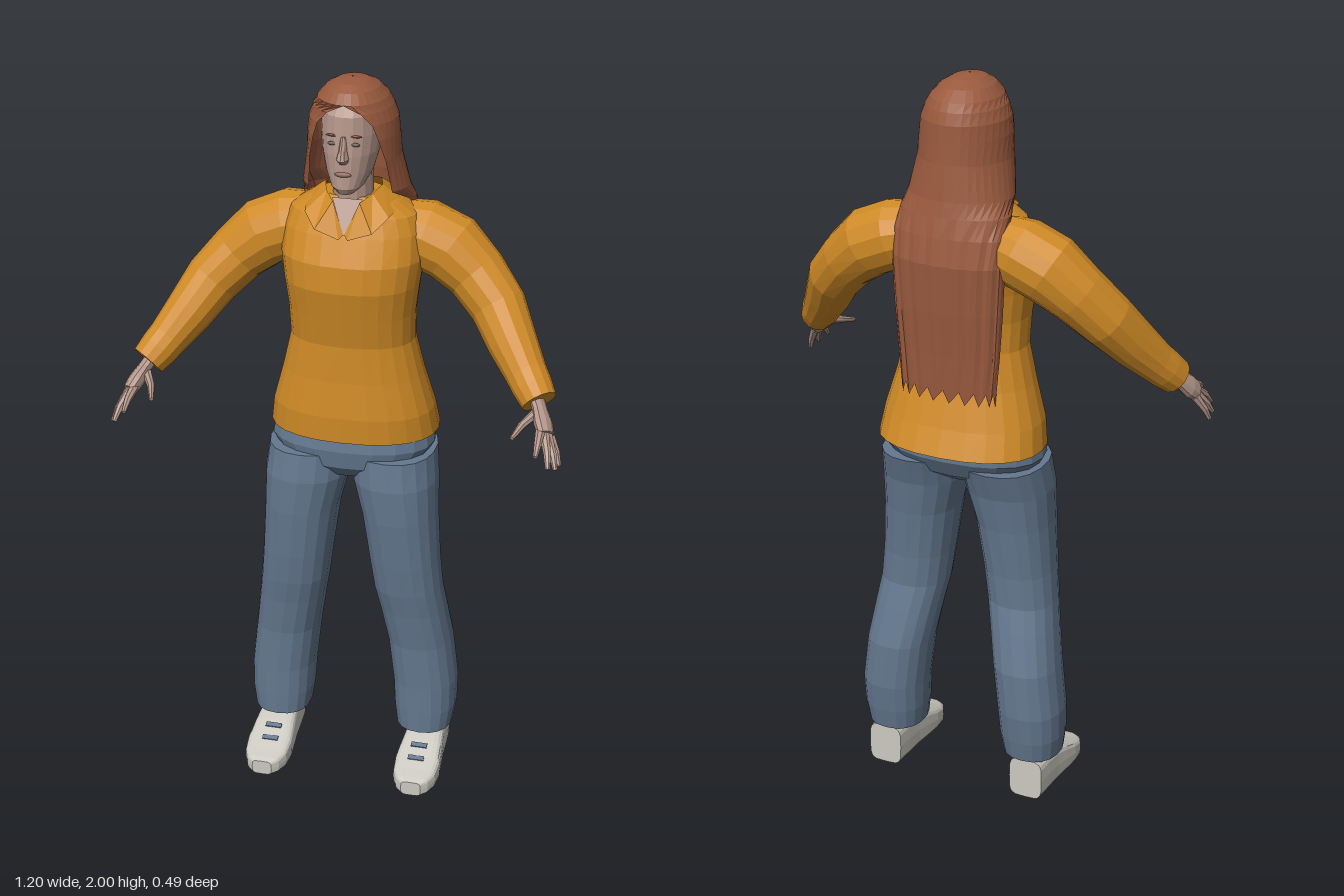
import * as THREE from 'three';

const mat = (name, color, side = THREE.FrontSide) => {
  const m = new THREE.MeshStandardMaterial({ color, side });
  m.name = name;
  return m;
};
const V = (x, y, z) => new THREE.Vector3(x, y, z);

// Faceted surface through rows of points; optionally closed around and capped.
function surface(rows, closed = true, caps = true) {
  const pos = [];
  const tri = (...pts) => pts.forEach((p) => pos.push(p.x, p.y, p.z));
  const n = rows[0].length;
  for (let i = 0; i < rows.length - 1; i++) {
    for (let j = 0; j < (closed ? n : n - 1); j++) {
      const k = (j + 1) % n;
      const [a, b, c, d] = [rows[i][j], rows[i][k], rows[i + 1][k], rows[i + 1][j]];
      tri(a, b, c);
      tri(a, c, d);
    }
  }
  if (closed && caps) {
    [rows[0], rows[rows.length - 1]].forEach((row, e) => {
      const mid = row.reduce((s, p) => s.add(p), V(0, 0, 0)).divideScalar(n);
      row.forEach((p, j) => (e ? tri(mid, p, row[(j + 1) % n]) : tri(mid, row[(j + 1) % n], p)));
    });
  }
  const g = new THREE.BufferGeometry();
  g.setAttribute('position', new THREE.Float32BufferAttribute(pos, 3));
  g.computeVertexNormals();
  return g;
}

// Superellipse ring spanned by u and v.
function ring(c, u, v, ru, rv, n, e = 2) {
  const pw = (t) => Math.sign(t) * Math.abs(t) ** (2 / e);
  return Array.from({ length: n }, (_, j) => {
    const a = (j / n) * Math.PI * 2;
    return c.clone().addScaledVector(u, pw(Math.cos(a)) * ru).addScaledVector(v, pw(Math.sin(a)) * rv);
  });
}

// Upright body from [y, centreX, halfWidth, frontZ, backZ], listed upward.
const upright = (list, n = 20, e = 2) => surface(list.map(([y, cx, w, f, b]) =>
  ring(V(cx, y, (f + b) / 2), V(0, 0, 1), V(1, 0, 0), (f - b) / 2, w, n, e)));

// Limb along a path of [x, y, z, radius].
function limb(list, n = 12, flat = 1) {
  const pts = list.map((p) => V(p[0], p[1], p[2]));
  return surface(pts.map((p, i) => {
    const w = pts[Math.min(i + 1, pts.length - 1)].clone().sub(pts[Math.max(i - 1, 0)]).normalize();
    const u = V(0, 0, 1).cross(w).normalize();
    return ring(p, u, w.clone().cross(u), list[i][3] * flat, list[i][3], n);
  }));
}

// Mirrored copy across x with the facing kept outward.
function mirrored(geo) {
  const p = geo.attributes.position;
  const out = [];
  for (let i = 0; i < p.count; i += 3) {
    for (const k of [i, i + 2, i + 1]) out.push(-p.getX(k), p.getY(k), p.getZ(k));
  }
  const g = new THREE.BufferGeometry();
  g.setAttribute('position', new THREE.Float32BufferAttribute(out, 3));
  g.computeVertexNormals();
  return g;
}

export function createModel() {
  const model = new THREE.Group();
  model.name = 'woman';
  const jacket = mat('amber jacket', 0xcf8a26, THREE.DoubleSide);
  const denim = mat('blue denim', 0x64788f);
  const hair = mat('auburn hair', 0x9a5a3e, THREE.DoubleSide);
  const skin = mat('skin', 0xb6988c, THREE.DoubleSide);
  const shoe = mat('pale shoe', 0xcbc9c0);
  const lip = mat('lips', 0x986a62);
  const eye = mat('eye', 0x6b5f5a);

  const add = (name, geo, m, parent = model) => {
    const mesh = new THREE.Mesh(geo, m);
    mesh.name = name;
    parent.add(mesh);
    return mesh;
  };
  const pair = (name, geo, m) => {
    const flat = geo.index ? geo.toNonIndexed() : geo;
    add('left' + name, flat, m);
    add('right' + name, mirrored(flat), m);
  };

  // Jacket body
  add('jacketBody', upright([
    [1.03, 0, 0.228, 0.07, -0.245], [1.1, 0, 0.218, 0.072, -0.218], [1.2, 0, 0.19, 0.062, -0.188],
    [1.3, 0, 0.166, 0.058, -0.172], [1.38, 0, 0.168, 0.072, -0.172], [1.46, 0, 0.178, 0.086, -0.182],
    [1.53, 0, 0.188, 0.08, -0.195], [1.6, 0, 0.185, 0.05, -0.2], [1.645, 0, 0.168, 0.028, -0.185],
    [1.675, 0, 0.125, 0.012, -0.16], [1.695, 0, 0.075, 0, -0.13],
  ], 24, 2.3), jacket);

  // Sleeves with cuffs
  pair('Sleeve', limb([
    [0.1, 1.59, -0.1, 0.075], [0.175, 1.572, -0.108, 0.092], [0.25, 1.54, -0.106, 0.092],
    [0.32, 1.48, -0.09, 0.08], [0.385, 1.41, -0.055, 0.074], [0.435, 1.335, 0.0, 0.065],
    [0.48, 1.275, 0.045, 0.055], [0.5, 1.25, 0.066, 0.053], [0.523, 1.222, 0.09, 0.047],
  ], 14), jacket);

  // Collar flaps folded over the neckline, and the open throat
  const flap = [
    [V(0.0, 1.71, -0.13), V(0.06, 1.715, -0.11), V(0.075, 1.715, -0.06), V(0.06, 1.705, -0.01), V(0.035, 1.69, 0.025)],
    [V(0.0, 1.665, -0.18), V(0.1, 1.67, -0.16), V(0.13, 1.67, -0.07), V(0.11, 1.655, 0.02), V(0.075, 1.622, 0.06)],
  ];
  pair('Collar', surface(flap, false), jacket);
  pair('Lapel', surface([
    [V(0.035, 1.69, 0.025), V(0.001, 1.61, 0.05)], [V(0.075, 1.622, 0.06), V(0.012, 1.6, 0.062)],
  ], false), jacket);
  add('throat', surface([
    [V(-0.04, 1.695, 0.012), V(0.04, 1.695, 0.012)], [V(-0.001, 1.61, 0.052), V(0.001, 1.61, 0.052)],
  ], false), skin);

  // Trousers
  add('trouserSeat', upright([
    [0.915, 0, 0.1, 0.03, -0.12], [0.95, 0, 0.19, 0.06, -0.175], [1.0, 0, 0.222, 0.068, -0.205],
    [1.05, 0, 0.215, 0.06, -0.205],
  ], 20, 2.3), denim);
  pair('TrouserLeg', upright([
    [0.12, 0.207, 0.078, 0.015, -0.16], [0.18, 0.207, 0.087, 0.016, -0.172], [0.26, 0.205, 0.09, 0.016, -0.182],
    [0.39, 0.19, 0.09, 0.02, -0.18], [0.5, 0.172, 0.092, 0.036, -0.155], [0.57, 0.16, 0.094, 0.05, -0.138],
    [0.66, 0.15, 0.096, 0.062, -0.14], [0.8, 0.136, 0.102, 0.076, -0.155], [0.9, 0.122, 0.114, 0.079, -0.172],
    [0.98, 0.115, 0.112, 0.07, -0.2],
  ], 18, 2.3), denim);

  // Ankles and shoes
  pair('Ankle', upright([[0.07, 0.21, 0.04, -0.02, -0.125], [0.15, 0.208, 0.04, -0.03, -0.125]], 10), skin);
  pair('Shoe', surface([
    [-0.15, 0.048, 0.118], [-0.1, 0.052, 0.12], [-0.04, 0.055, 0.112], [0.01, 0.06, 0.095],
    [0.06, 0.064, 0.074], [0.105, 0.06, 0.057], [0.135, 0.046, 0.048], [0.15, 0.028, 0.042],
  ].map(([z, w, h]) => ring(V(0.215, h / 2, z), V(1, 0, 0), V(0, 1, 0), w, h / 2, 20, 4.5))), shoe);
  for (const [z, y] of [[0.03, 0.0885], [0.07, 0.0715]]) {
    const lace = new THREE.BoxGeometry(0.045, 0.004, 0.014);
    lace.rotateX(0.4).translate(0.212, y, z);
    pair('Lace', lace, denim);
  }

  // Hands
  pair('Palm', limb([
    [0.51, 1.235, 0.078, 0.027], [0.528, 1.208, 0.107, 0.027], [0.542, 1.183, 0.135, 0.034],
    [0.553, 1.163, 0.158, 0.03],
  ], 10, 0.65), skin);
  const fingers = {
    Thumb: [[0.518, 1.2, 0.118], [0.492, 1.185, 0.165], [0.476, 1.17, 0.213]],
    IndexFinger: [[0.54, 1.175, 0.16], [0.542, 1.16, 0.21], [0.542, 1.14, 0.245]],
    MiddleFinger: [[0.55, 1.167, 0.16], [0.566, 1.135, 0.205], [0.573, 1.105, 0.235]],
    RingFinger: [[0.557, 1.16, 0.152], [0.578, 1.12, 0.185], [0.588, 1.09, 0.205]],
    LittleFinger: [[0.56, 1.155, 0.138], [0.582, 1.115, 0.157], [0.592, 1.085, 0.168]],
  };
  for (const [name, path] of Object.entries(fingers)) {
    pair(name, limb(path.map((p, i) => [...p, [0.013, 0.01, 0.006][i]]), 7), skin);
  }

  // Head, neck and face
  add('neck', upright([[1.62, 0, 0.06, 0.015, -0.12], [1.69, 0, 0.052, 0.008, -0.11], [1.79, 0, 0.052, 0.015, -0.11]], 14), skin);
  add('head', upright([
    [1.718, 0, 0.022, 0.05, -0.01], [1.735, 0, 0.042, 0.061, -0.05], [1.77, 0, 0.06, 0.06, -0.1],
    [1.82, 0, 0.073, 0.06, -0.13], [1.87, 0, 0.079, 0.056, -0.15], [1.92, 0, 0.077, 0.052, -0.15],
    [1.955, 0, 0.058, 0.025, -0.125], [1.975, 0, 0.03, -0.01, -0.09],
  ], 20), skin);
  add('nose', upright([
    [1.803, 0, 0.012, 0.068, 0.03], [1.816, 0, 0.016, 0.086, 0.03], [1.836, 0, 0.011, 0.077, 0.03],
    [1.872, 0, 0.008, 0.06, 0.03],
  ], 10), skin);
  const blob = (x, y, z, rx, ry, rz) => new THREE.SphereGeometry(1, 10, 6).scale(rx, ry, rz).translate(x, y, z);
  add('mouth', blob(0, 1.774, 0.058, 0.022, 0.007, 0.006), lip);
  pair('Eye', blob(0.03, 1.852, 0.05, 0.012, 0.005, 0.005), eye);
  pair('Eyebrow', blob(0.031, 1.873, 0.049, 0.017, 0.003, 0.005), hair);

  // Long hair: open shell from crown to waist, rows of [y, halfWidth, centreZ, depth, sweep]
  const rows = [
    [1.17, 0.132, -0.175, 0.035, 1.6], [1.3, 0.142, -0.172, 0.045, 1.6], [1.42, 0.15, -0.172, 0.056, 1.6],
    [1.55, 0.155, -0.172, 0.063, 1.65], [1.62, 0.155, -0.155, 0.068, 1.75], [1.67, 0.149, -0.125, 0.085, 1.95],
    [1.71, 0.14, -0.09, 0.112, 2.25], [1.8, 0.122, -0.065, 0.126, 2.2], [1.86, 0.118, -0.06, 0.127, 2.35],
    [1.9, 0.113, -0.06, 0.125, 2.47], [1.93, 0.102, -0.058, 0.118, 2.7], [1.952, 0.09, -0.055, 0.11, Math.PI],
    [1.977, 0.068, -0.05, 0.085, Math.PI], [1.992, 0.042, -0.045, 0.053, Math.PI], [2.0, 0.002, -0.043, 0.003, Math.PI],
  ];
  const N = 28;
  add('hair', surface(rows.map(([y, w, c, d, sweep], i) => Array.from({ length: N + 1 }, (_, j) => {
    const a = (1 - (2 * j) / N) * sweep;
    const strand = i < 5 ? (j % 3 === 0 ? 0.004 : 0) : 0;
    return V(w * Math.sin(a), y + (i ? 0 : 0.018 * (j % 3)), c - d * Math.cos(a) + strand);
  })), false), hair);

  return model;
}
